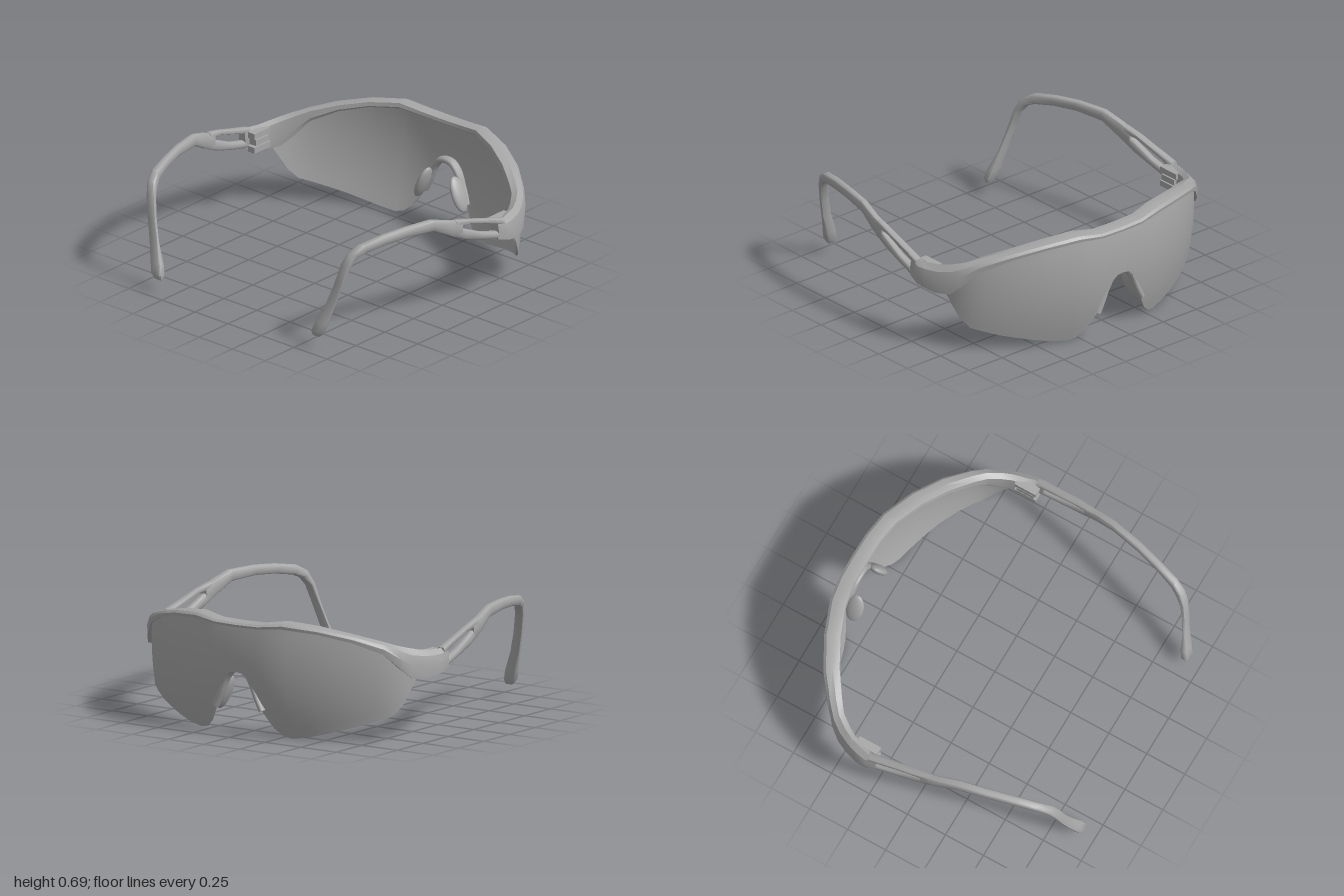
import * as THREE from 'three';
import { toCreasedNormals } from 'three/addons/utils/BufferGeometryUtils.js';

const grey = new THREE.MeshStandardMaterial({ color: 0xa6a6a6 });
grey.name = 'grey plastic';

// Closed skin through rings of equal point count, capped at both ends and wound outwards
function loft(rings, crease = 0.6) {
  const n = rings[0].length, pos = rings.flat(2), idx = [];
  const v = (i) => new THREE.Vector3(pos[i * 3], pos[i * 3 + 1], pos[i * 3 + 2]);
  for (let r = 0; r < rings.length - 1; r++) {
    for (let i = 0; i < n; i++) {
      const a = r * n + i, b = r * n + (i + 1) % n;
      idx.push(a, b, a + n, b, b + n, a + n);
    }
  }
  [0, rings.length - 1].forEach((r, end) => {
    const c = pos.length / 3;
    for (let k = 0; k < 3; k++) pos.push(rings[r].reduce((s, p) => s + p[k], 0) / n);
    for (let i = 0; i < n; i++) {
      const a = r * n + i, b = r * n + (i + 1) % n;
      idx.push(...(end ? [a, b, c] : [b, a, c]));
    }
  });
  let volume = 0;
  for (let i = 0; i < idx.length; i += 3) volume += v(idx[i]).dot(v(idx[i + 1]).cross(v(idx[i + 2])));
  if (volume < 0) idx.reverse();
  const g = new THREE.BufferGeometry();
  g.setAttribute('position', new THREE.Float32BufferAttribute(pos, 3));
  g.setIndex(idx);
  return toCreasedNormals(g, crease);
}

// Rows for x >= 0 become a full row list from right to left
const mirrorRows = (rows, flip) => [...rows.slice(1).reverse().map(flip), ...rows];

// Rounded bar; each station is [top z, top y, bottom z, bottom y, x, width]
function bar(stations, side) {
  return loft(stations.map(([zt, yt, zb, yb, x, w]) => {
    const ring = [];
    for (let i = 0; i < 12; i++) {
      const a = (i / 12) * Math.PI * 2, c = Math.cos(a), s = Math.sin(a);
      const t = 0.5 + 0.5 * Math.sign(s) * Math.abs(s) ** 0.6;
      const dx = (w / 2) * Math.sign(c) * Math.abs(c) ** 0.6;
      ring.push([side * (x + dx), yb + (yt - yb) * t, zb + (zt - zb) * t]);
    }
    return ring;
  }), 0.8);
}

export function createModel() {
  const model = new THREE.Group();
  const add = (name, geometry, parent = model) => {
    const mesh = new THREE.Mesh(geometry, grey);
    mesh.name = name;
    parent.add(mesh);
    return mesh;
  };

  // One-piece wrapped lens: x, z, bottom y, top y
  const lensRows = mirrorRows([
    [0, -0.94, 0.375, 0.65], [0.04, -0.94, 0.37, 0.65], [0.07, -0.939, 0.345, 0.65],
    [0.1, -0.938, 0.28, 0.65], [0.14, -0.936, 0.19, 0.65], [0.18, -0.933, 0.125, 0.655],
    [0.22, -0.927, 0.06, 0.66], [0.27, -0.918, 0.016, 0.665], [0.32, -0.904, 0.004, 0.665],
    [0.41, -0.873, 0.018, 0.655], [0.5, -0.835, 0.04, 0.64], [0.6, -0.782, 0.07, 0.615],
    [0.7, -0.717, 0.1, 0.585], [0.78, -0.65, 0.13, 0.55], [0.83, -0.6, 0.15, 0.52],
    [0.87, -0.54, 0.21, 0.47], [0.89, -0.49, 0.28, 0.43], [0.905, -0.43, 0.36, 0.4],
  ], ([x, ...rest]) => [-x, ...rest]);
  add('lens', loft(lensRows.map(([x, z, bottom, top]) => {
    const outer = [], inner = [], steps = 10;
    for (let i = 0; i <= steps; i++) {
      const y = bottom + (top - bottom) * i / steps;
      const bowed = z + 0.4 * (y - 0.45) ** 2;
      outer.push([x, y, bowed]);
      inner.unshift([x * 0.992, y, bowed + 0.012]);
    }
    return [...outer, ...inner];
  })));

  // Brow frame, growing taller into the hinge ends: outer x, z, inner x, z, top y, bottom y
  const browRows = mirrorRows([
    [0, -0.94, 0, -0.84, 0.665, 0.635], [0.15, -0.937, 0.15, -0.838, 0.668, 0.637],
    [0.3, -0.912, 0.29, -0.81, 0.69, 0.65], [0.5, -0.837, 0.46, -0.745, 0.667, 0.63],
    [0.68, -0.737, 0.62, -0.66, 0.628, 0.585], [0.82, -0.627, 0.75, -0.57, 0.587, 0.515],
    [0.89, -0.56, 0.815, -0.52, 0.56, 0.43], [0.93, -0.5, 0.865, -0.45, 0.54, 0.37],
    [0.967, -0.42, 0.892, -0.4, 0.525, 0.362], [0.99, -0.35, 0.91, -0.32, 0.518, 0.375],
    [1, -0.29, 0.93, -0.28, 0.518, 0.388], [0.985, -0.22, 0.935, -0.22, 0.535, 0.41],
  ], ([xo, zo, xi, ...rest]) => [-xo, zo, -xi, ...rest]);
  add('browFrame', loft(browRows.map(([xo, zo, xi, zi, top, bottom]) => {
    const at = (t, y) => [xi + (xo - xi) * t, y, zi + (zo - zi) * t];
    const h = top - bottom;
    return [at(0.1, bottom), at(0, bottom + h * 0.3), at(0.05, top - h * 0.1), at(0.45, top),
      at(0.85, top - h * 0.2), at(1, top - h * 0.55), at(0.97, bottom)];
  }), 0.4));

  // Nose bridge saddle around the lens notch
  const saddle = new THREE.CatmullRomCurve3([
    [-0.165, 0.16], [-0.125, 0.24], [-0.085, 0.33], [-0.045, 0.377], [0, 0.388],
    [0.045, 0.377], [0.085, 0.33], [0.125, 0.24], [0.165, 0.16],
  ].map(([x, y]) => new THREE.Vector3(x, y, 0)));
  const saddleGeometry = new THREE.TubeGeometry(saddle, 32, 0.02, 8);
  saddleGeometry.scale(1, 1, 1.5);
  add('noseBridge', saddleGeometry).position.z = -0.9;

  for (const [side, label] of [[1, 'left'], [-1, 'right']]) {
    const pad = add(label + 'NosePad', new THREE.SphereGeometry(1, 20, 14));
    pad.scale.set(0.027, 0.108, 0.055);
    pad.rotation.z = side * 0.4;
    pad.position.set(side * 0.135, 0.23, -0.845);

    const temple = new THREE.Group();
    temple.name = label + 'Temple';
    model.add(temple);

    // Rear arm with bent ear piece
    add('earArm', bar([
      [0.06, 0.61, 0.06, 0.5, 0.937, 0.045], [0.15, 0.638, 0.15, 0.54, 0.928, 0.05],
      [0.27, 0.675, 0.27, 0.605, 0.905, 0.05], [0.45, 0.677, 0.45, 0.616, 0.866, 0.05],
      [0.6, 0.666, 0.6, 0.606, 0.825, 0.052], [0.74, 0.642, 0.72, 0.585, 0.785, 0.056],
      [0.805, 0.602, 0.77, 0.562, 0.758, 0.06], [0.838, 0.53, 0.808, 0.512, 0.736, 0.06],
      [0.862, 0.4, 0.838, 0.4, 0.705, 0.06], [0.885, 0.28, 0.863, 0.28, 0.668, 0.065],
      [0.922, 0.17, 0.876, 0.16, 0.625, 0.08], [0.94, 0.11, 0.89, 0.1, 0.605, 0.078],
      [0.928, 0.08, 0.902, 0.077, 0.598, 0.05],
    ], side), temple);

    // Two rails leaving a slot between them
    add('upperRail', bar([
      [0.11, 0.627, 0.11, 0.58, 0.932, 0.044], [0, 0.6, 0, 0.572, 0.943, 0.044],
      [-0.1, 0.57, -0.1, 0.541, 0.95, 0.045], [-0.2, 0.542, -0.2, 0.508, 0.958, 0.048],
      [-0.27, 0.522, -0.27, 0.48, 0.962, 0.05],
    ], side), temple);
    add('lowerRail', bar([
      [0.11, 0.59, 0.11, 0.52, 0.932, 0.044], [0.03, 0.55, 0.03, 0.483, 0.94, 0.044],
      [-0.1, 0.49, -0.1, 0.443, 0.95, 0.046], [-0.2, 0.46, -0.2, 0.415, 0.958, 0.05],
      [-0.29, 0.445, -0.29, 0.39, 0.962, 0.055],
    ], side), temple);

    // Hinge knuckles on the inner face
    [0.405, 0.448, 0.491].forEach((y, i) => {
      const knuckle = add('hingeKnuckle', new THREE.BoxGeometry(0.05, 0.036, i === 1 ? 0.11 : 0.14), temple);
      knuckle.position.set(side * 0.908, y, -0.31);
    });
  }
  return model;
}
